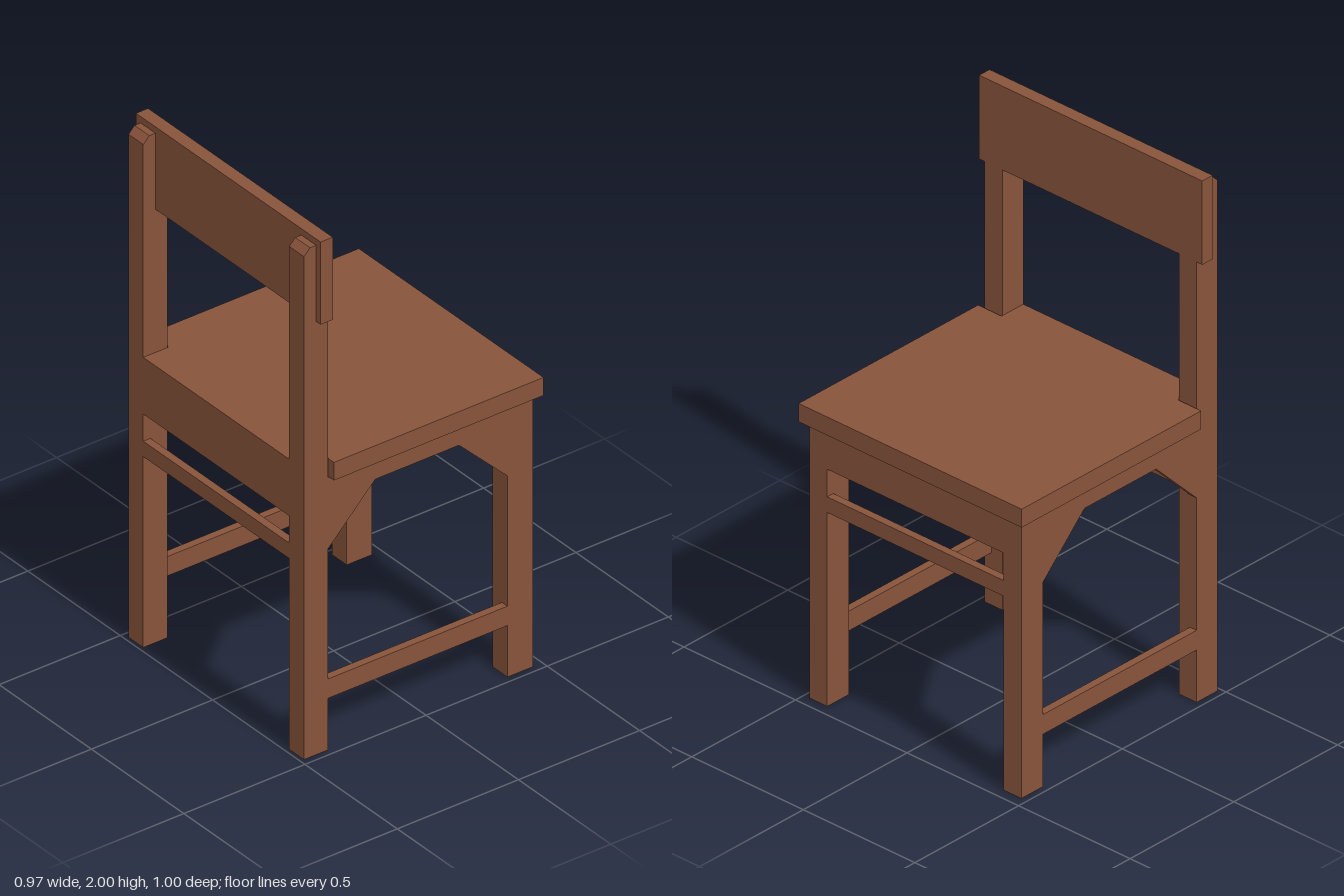
import * as THREE from 'three';

export function createModel() {
  const chair = new THREE.Group();
  chair.name = 'chair';
  const wood = new THREE.MeshStandardMaterial({ color: 0x87533b });
  wood.name = 'brown wood';

  const add = (name, geometry) => {
    const mesh = new THREE.Mesh(geometry, wood);
    mesh.name = name;
    chair.add(mesh);
  };

  // Box given by its limits on each axis
  const box = (name, x0, x1, y0, y1, z0, z1) => {
    const g = new THREE.BoxGeometry(x1 - x0, y1 - y0, z1 - z0);
    g.translate((x0 + x1) / 2, (y0 + y1) / 2, (z0 + z1) / 2);
    add(name, g);
  };

  // Side profile (x, y) extruded from z0 to z1
  const plate = (name, points, z0, z1) => {
    const shape = new THREE.Shape(points.map(([x, y]) => new THREE.Vector2(x, y)));
    const g = new THREE.ExtrudeGeometry(shape, { depth: z1 - z0, bevelEnabled: false });
    g.translate(0, 0, z0);
    add(name, g);
  };

  const IN = 0.395, OUT = 0.475; // inner and outer faces of the legs
  const T = 0.03; // thickness of aprons and stretchers

  for (const side of [1, -1]) {
    const label = side > 0 ? 'left' : 'right';
    const span = (a, b) => (side > 0 ? [a, b] : [-b, -a]);

    // Rear leg running up into the back post, notched for the backrest
    plate(label + 'BackPost', [
      [-0.485, 0], [-0.385, 0], [-0.385, 1.68], [-0.435, 1.68],
      [-0.435, 1.975], [-0.46, 1.975], [-0.485, 1.95],
    ], ...span(IN, OUT));
    box(label + 'FrontLeg', 0.355, 0.46, 0, 1.055, ...span(IN, OUT));

    // Side apron with sloping corner brackets
    plate(label + 'SideApron', [
      [-0.385, 0.78], [-0.19, 0.975], [0.155, 0.975],
      [0.355, 0.78], [0.355, 1.055], [-0.385, 1.055],
    ], ...span(OUT - T, OUT));
    box(label + 'SideStretcher', -0.385, 0.355, 0.2, 0.275, ...span(OUT - T, OUT));

    // Rail under the seat
    box(label + 'SeatRail', -0.455, 0.43, 0.985, 1.055, ...span(0.155, 0.195));
  }

  // Cross pieces at the front and back
  for (const [label, x] of [['front', 0.43], ['back', -0.485]]) {
    box(label + 'Apron', x, x + T, 0.905, 1.055, -IN, IN);
    box(label + 'Stretcher', x, x + T, 0.74, 0.8, -IN, IN);
  }

  // Seat board with a tongue reaching back between the posts (turned flat)
  const outline = [
    [-0.38, -0.5], [0.485, -0.5], [0.485, 0.5], [-0.38, 0.5],
    [-0.38, IN], [-0.485, IN], [-0.485, -IN], [-0.38, -IN],
  ].map(([x, z]) => new THREE.Vector2(x, z));
  const seat = new THREE.ExtrudeGeometry(new THREE.Shape(outline), { depth: 0.07, bevelEnabled: false });
  seat.rotateX(-Math.PI / 2);
  seat.translate(0, 1.055, 0);
  add('seat', seat);

  box('backrest', -0.435, -0.385, 1.68, 2, -0.5, 0.5);

  return chair;
}
